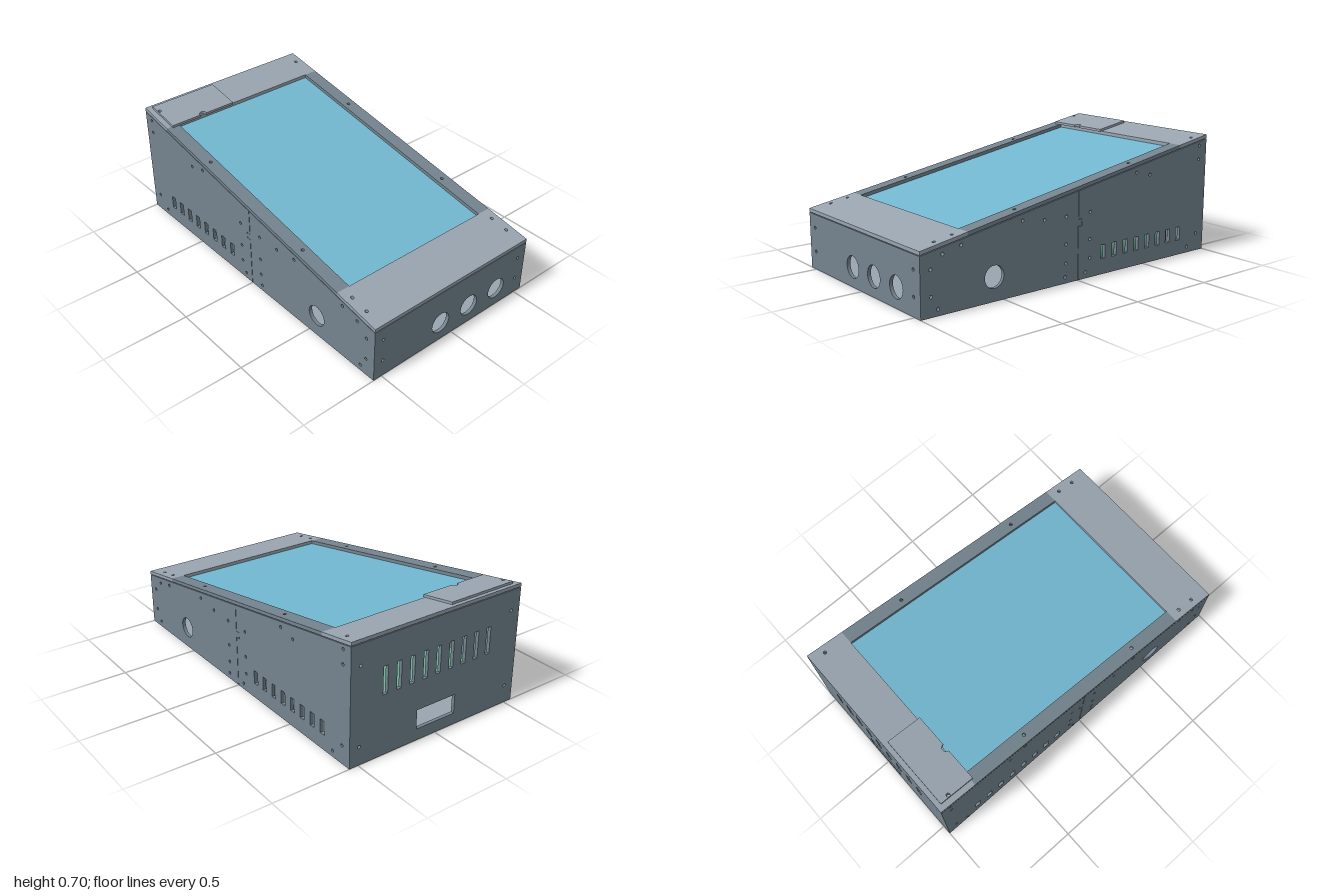
import * as THREE from 'three';
import { mergeVertices } from 'three/addons/utils/BufferGeometryUtils.js';

const W = 0.553;      // half width
const WALL = 0.02;    // wall and lid thickness
const SLOPE = 0.175;  // drop of the lid per unit of z
const lidY = 0.515;   // top of the lid at z = 0

const mat = (name, color) => {
  const m = new THREE.MeshStandardMaterial({ color });
  m.name = name;
  return m;
};

const polygon = (pts) => new THREE.Shape(pts.map(([x, y]) => new THREE.Vector2(x, y)));
const corners = (x0, x1, y0, y1) => [[x0, y0], [x1, y0], [x1, y1], [x0, y1]];
const rect = (x0, x1, y0, y1) => polygon(corners(x0, x1, y0, y1));

function addHoles(shape, circles, rects = []) {
  for (const [x, y, r = 0.009] of circles) {
    shape.holes.push(new THREE.Path().absarc(x, y, r, 0, Math.PI * 2, true));
  }
  for (const r of rects) shape.holes.push(rect(...r));
  return shape;
}

const extrude = (shape, depth) =>
  new THREE.ExtrudeGeometry(shape, { depth, bevelEnabled: false, curveSegments: 16 });

// Plate drawn in x and z, its top at the given height
function plate(shape, top, thickness) {
  return extrude(shape, thickness).rotateX(Math.PI / 2).translate(0, top, 0);
}

// The same plate sheared to follow the slope of the lid
function slopedPlate(shape, top, thickness) {
  const g = plate(shape, top, thickness);
  const p = g.attributes.position;
  for (let i = 0; i < p.count; i++) p.setY(i, p.getY(i) - SLOPE * p.getZ(i));
  g.computeVertexNormals();
  return g;
}

export function createModel() {
  const model = new THREE.Group();
  model.name = 'slopedConsole';

  const slate = mat('slate casing', 0x74848f);
  const grey = mat('light grey panels', 0x99a5b0);
  const blue = mat('blue screen', 0x72b8d1);
  const green = mat('green circuit block', 0x6fb596);
  const orange = mat('orange backing', 0xc08a40);

  const add = (name, geometry, material) => {
    const m = new THREE.Mesh(geometry, material);
    m.name = name;
    model.add(m);
    return m;
  };

  // Side walls: two halves that interlock at the middle
  const wallTop = (z) => lidY - WALL - 0.004 - SLOPE * z;
  const frontHoles = [
    [0.56, 0.13, 0.06], [0.94, 0.24], [0.94, 0.105], [0.9, 0.035], [0.87, 0.305], [0.76, 0.33],
    [0.38, 0.39], [0.235, 0.37], [0.085, 0.365], [0.085, 0.215], [0.085, 0.11], [0.09, 0.035],
  ];
  const backHoles = [
    [-0.085, 0.365], [-0.085, 0.215], [-0.085, 0.11], [-0.055, 0.035], [-0.43, 0.535],
    [-0.535, 0.51], [-0.94, 0.63], [-0.94, 0.55], [-0.94, 0.105], [-0.865, 0.035],
  ];
  const sideVents = [];
  for (let i = 0; i < 8; i++) {
    const z = -0.183 - i * 0.0855;
    sideVents.push([z - 0.017, z + 0.017, 0.088, 0.167]);
  }
  const seam = (z, g) => [[z, 0], [z, 0.3 - g], [z - 0.025, 0.3 - g], [z - 0.025, 0.335 + g],
    [z, 0.335 + g], [z, wallTop(z)]];
  const frontHalf = addHoles(
    polygon([[1, 0], [1, wallTop(1)], ...seam(0.0015, 0).reverse()]), frontHoles);
  const backHalf = addHoles(
    polygon([...seam(-0.0015, 0.002), [-1, wallTop(-1)], [-1, 0]]), backHoles, sideVents);
  for (const [side, x] of [['left', W], ['right', -W + WALL]]) {
    for (const [part, shape] of [['Front', frontHalf], ['Back', backHalf]]) {
      add(`${side}Wall${part}`, extrude(shape, WALL).rotateY(-Math.PI / 2).translate(x, 0, 0), slate);
    }
  }

  // Front wall with three round ports
  const inner = W - WALL;
  const frontWall = addHoles(rect(-inner, inner, 0, wallTop(1)), [
    [-0.087, 0.112, 0.061], [0.125, 0.112, 0.061], [0.338, 0.112, 0.061],
    [-0.495, 0.103], [0.495, 0.103], [-0.495, 0.24], [0.495, 0.24],
  ]);
  add('frontWall', extrude(frontWall, WALL).translate(0, 0, 1 - WALL), slate);

  // Back wall with nine vents and a connector opening
  const backCuts = [[-0.128, 0.128, 0.067, 0.178]];
  for (let i = -4; i <= 4; i++) backCuts.push([i * 0.085 - 0.014, i * 0.085 + 0.014, 0.345, 0.5]);
  const backWall = addHoles(rect(-inner, inner, 0, wallTop(-1)), [
    [-0.495, 0.105], [0.495, 0.105], [-0.495, 0.55], [0.495, 0.55],
  ], backCuts);
  add('backWall', extrude(backWall, WALL).translate(0, 0, -1), slate);

  // Floor in two halves, with slots in the back one
  const slots = [];
  for (const x of [-0.44, 0.44]) {
    for (const z of [-0.11, -0.75]) slots.push([x - 0.016, x + 0.016, z - 0.045, z + 0.045]);
  }
  add('floorFront', plate(rect(-inner, inner, 0.0015, 1 - WALL), 0.024, 0.02), grey);
  add('floorBack', plate(addHoles(rect(-inner, inner, -1 + WALL, -0.0015), [], slots), 0.024, 0.02), grey);

  // Lid: light end panels and darker side rails around the screen
  const z0 = -0.775, z1 = 0.72, x1 = 0.473;
  const pair = (z) => [[-0.51, z], [0.51, z]];
  add('lidFrontPanel', slopedPlate(
    addHoles(rect(-W, W, z1, 1), [...pair(0.785), ...pair(0.89)]), lidY, WALL), grey);
  add('lidBackPanel', slopedPlate(
    addHoles(rect(-W, W, -1, z0), pair(-0.915)), lidY, WALL), grey);
  for (const [name, s] of [['leftRail', 1], ['rightRail', -1]]) {
    const shape = rect(Math.min(s * x1, s * W), Math.max(s * x1, s * W), z0, z1);
    add(name, slopedPlate(addHoles(shape, [[s * 0.51, -0.405], [s * 0.51, 0.4]]), lidY, WALL), slate);
  }

  // Hatch with a finger notch and a screw hole
  const hatch = new THREE.Shape();
  hatch.moveTo(-0.52, -0.972);
  hatch.lineTo(-0.095, -0.972);
  hatch.lineTo(-0.095, -0.763);
  hatch.lineTo(-0.286, -0.763);
  hatch.absarc(-0.308, -0.763, 0.022, 0, Math.PI, true);
  hatch.lineTo(-0.52, -0.763);
  addHoles(hatch, [[-0.508, -0.915, 0.01]]);
  add('hatch', slopedPlate(hatch, lidY + 0.014, 0.014), grey);

  // Screen and its backing
  add('screen', slopedPlate(rect(-0.49, 0.49, -0.8, 0.75), lidY - WALL, 0.008), blue);
  add('screenBacking', slopedPlate(rect(-0.49, 0.49, -0.8, 0.75), lidY - WALL - 0.008, 0.012), orange);
  add('screenDriver', slopedPlate(rect(-0.4, 0.4, -0.1, 0.3), lidY - WALL - 0.02, 0.115), orange);

  // Circuit block inside, softly shaded
  let block = new THREE.BoxGeometry(0.86, 0.16, 0.82);
  block.deleteAttribute('normal');
  block.deleteAttribute('uv');
  block = mergeVertices(block);
  block.computeVertexNormals();
  add('circuitBlock', block.translate(0, 0.125, -0.41), green);

  return model;
}
